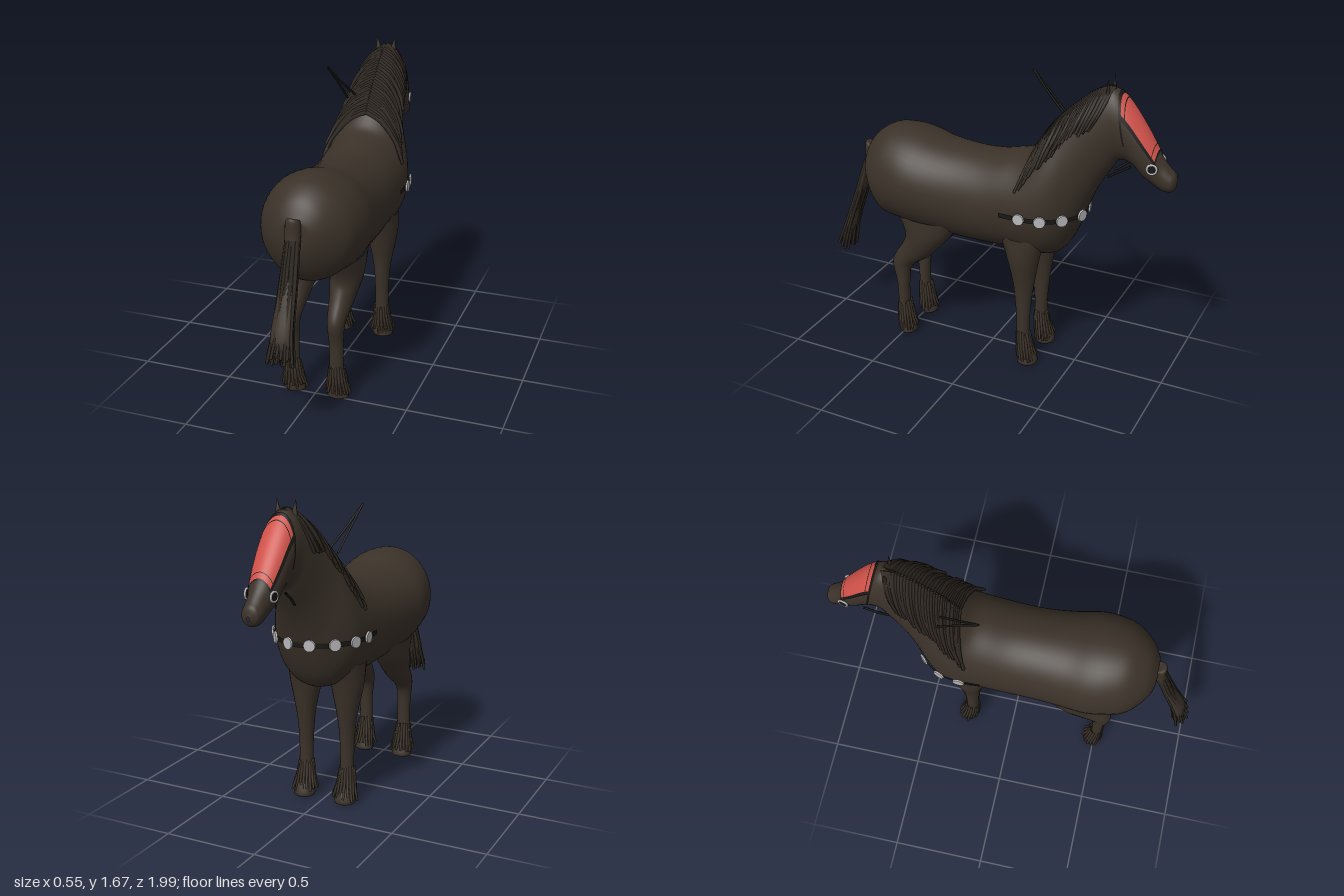
import * as THREE from 'three';

const V = (x, y, z) => new THREE.Vector3(x, y, z);
const mat = (name, color, side = THREE.FrontSide) => {
  const m = new THREE.MeshStandardMaterial({ color, side });
  m.name = name;
  return m;
};

// Surface patch sampled from fn(u, v); optionally closed around v
function grid(fn, nu, nv, closed = false) {
  const pos = [], idx = [], row = closed ? nv : nv + 1;
  for (let i = 0; i <= nu; i++)
    for (let j = 0; j < row; j++) pos.push(...fn(i / nu, j / nv).toArray());
  for (let i = 0; i < nu; i++)
    for (let j = 0; j < nv; j++) {
      const k = (j + 1) % row, a = i * row, b = a + row;
      idx.push(a + j, b + j, b + k, a + j, b + k, a + k);
    }
  const g = new THREE.BufferGeometry();
  g.setAttribute('position', new THREE.Float32BufferAttribute(pos, 3));
  g.setIndex(idx);
  g.computeVertexNormals();
  return g;
}

// Smooth skin through oval sections [z1, y1, z2, y2, halfWidth]
function skin(sections, x = 0) {
  const curve = f => new THREE.CatmullRomCurve3(sections.map(f), false, 'catmullrom', 0.5);
  const a = curve(s => V(x, s[1], s[0])), b = curve(s => V(x, s[3], s[2])), w = curve(s => V(s[4], 0, 0));
  return (t, ang, k = 1) => {
    const p = a.getPoint(t), q = b.getPoint(t);
    const c = p.clone().add(q).multiplyScalar(0.5);
    const h = p.sub(q).multiplyScalar(0.5 * k * Math.sin(ang));
    return c.add(h).add(V(w.getPoint(t).x * k * Math.cos(ang), 0, 0));
  };
}
const skinGeometry = (s, nu, nv) => grid((u, v) => s(u, v * Math.PI * 2), nu, nv, true);

// Tapered lock of hair
function strand(points, r, tip = 0.25, seg = 8, sides = 6) {
  const path = new THREE.CatmullRomCurve3(points);
  const g = new THREE.TubeGeometry(path, seg, r, sides);
  const p = g.attributes.position, v = V(0, 0, 0);
  for (let i = 0; i < p.count; i++) {
    const t = Math.floor(i / (sides + 1)) / seg;
    v.fromBufferAttribute(p, i).lerp(path.getPointAt(t), t * (1 - tip));
    p.setXYZ(i, v.x, v.y, v.z);
  }
  return g;
}

const BODY = [
  [0.75, 1.05, 0.75, 1.01, 0.01], [0.74, 1.08, 0.745, 0.9, 0.09], [0.69, 1.16, 0.7, 0.79, 0.165],
  [0.6, 1.22, 0.62, 0.705, 0.235], [0.5, 1.232, 0.5, 0.685, 0.265], [0.4, 1.22, 0.4, 0.67, 0.272],
  [0.28, 1.19, 0.28, 0.66, 0.255], [0.14, 1.176, 0.14, 0.65, 0.242], [0, 1.176, 0, 0.65, 0.24],
  [-0.12, 1.2, -0.15, 0.655, 0.24], [-0.22, 1.23, -0.31, 0.65, 0.242], [-0.28, 1.29, -0.42, 0.69, 0.23],
  [-0.33, 1.36, -0.49, 0.81, 0.2], [-0.38, 1.42, -0.54, 0.95, 0.165], [-0.45, 1.49, -0.6, 1.09, 0.135],
  [-0.53, 1.56, -0.665, 1.2, 0.115], [-0.61, 1.61, -0.7, 1.25, 0.102], [-0.67, 1.615, -0.75, 1.25, 0.095],
  [-0.74, 1.555, -0.79, 1.225, 0.09], [-0.82, 1.45, -0.83, 1.185, 0.082], [-0.88, 1.36, -0.87, 1.16, 0.07],
  [-0.925, 1.29, -0.91, 1.135, 0.056], [-0.965, 1.245, -0.945, 1.125, 0.053], [-0.99, 1.22, -0.98, 1.13, 0.043],
  [-1, 1.18, -1, 1.16, 0.008]
];
const FORE = [
  [-0.36, 0.78, -0.1, 0.78, 0.09], [-0.325, 0.65, -0.145, 0.65, 0.085], [-0.3, 0.5, -0.18, 0.5, 0.056],
  [-0.287, 0.4, -0.192, 0.4, 0.043], [-0.277, 0.28, -0.203, 0.28, 0.038], [-0.277, 0.17, -0.205, 0.17, 0.038],
  [-0.287, 0.1, -0.205, 0.1, 0.046], [-0.315, 0.05, -0.212, 0.04, 0.053], [-0.322, 0.004, -0.215, 0.004, 0.055],
  [-0.27, 0.002, -0.265, 0.002, 0.002]
];
const HIND = [
  [0.13, 0.76, 0.52, 0.76, 0.09], [0.22, 0.64, 0.475, 0.65, 0.085], [0.33, 0.52, 0.5, 0.57, 0.065],
  [0.425, 0.45, 0.555, 0.48, 0.05], [0.46, 0.4, 0.567, 0.42, 0.043], [0.472, 0.32, 0.545, 0.32, 0.038],
  [0.475, 0.19, 0.538, 0.19, 0.038], [0.465, 0.11, 0.535, 0.11, 0.045], [0.445, 0.05, 0.53, 0.04, 0.053],
  [0.437, 0.004, 0.525, 0.004, 0.055], [0.48, 0.002, 0.485, 0.002, 0.002]
];
const TAIL = [
  [0.72, 1.06, 0.74, 1.07, 0.01], [0.72, 1.05, 0.785, 1.085, 0.036], [0.74, 0.95, 0.795, 0.98, 0.04],
  [0.785, 0.83, 0.835, 0.84, 0.045], [0.84, 0.68, 0.895, 0.69, 0.05], [0.885, 0.53, 0.955, 0.54, 0.058],
  [0.92, 0.44, 0.965, 0.45, 0.05]
];

export function createModel() {
  const root = new THREE.Group();
  const coat = mat('dark brown coat', 0x3b3229);
  const hair = mat('dark hair', 0x2c261f, THREE.DoubleSide);
  const leather = mat('black leather', 0x191715, THREE.DoubleSide);
  const red = mat('red cloth', 0xd0524a, THREE.DoubleSide);
  const silver = mat('silver', 0xb9b9bb);
  let seed = 7;
  const rnd = () => (seed = (seed * 16807) % 2147483647) / 2147483647 - 0.5;
  const add = (name, g, m, parent = root) => {
    const mesh = new THREE.Mesh(g, m);
    mesh.name = name;
    parent.add(mesh);
    return mesh;
  };
  const group = name => {
    const g = new THREE.Group();
    g.name = name;
    root.add(g);
    return g;
  };

  // Body, neck and head in one skin
  const body = skin(BODY), N = BODY.length - 1;
  add('body', skinGeometry(body, 120, 48), coat);

  // Legs with feathered fetlocks
  for (const s of [1, -1])
    for (const [name, rows, zc, dz] of [['foreLeg', FORE, -0.24, -0.025], ['hindLeg', HIND, 0.505, -0.02]]) {
      const leg = group(name), x = 0.122 * s;
      add(name + 'Skin', skinGeometry(skin(rows, x), 54, 22), coat, leg);
      for (let i = 0; i < 18; i++) {
        const a = (i / 18) * Math.PI * 2, c = Math.cos(a), d = Math.sin(a), f = 1 + rnd() * 0.25;
        add('feather', strand([
          V(x + c * 0.033, 0.19 + rnd() * 0.03, zc + d * 0.03),
          V(x + c * 0.048, 0.11, zc + dz * 0.4 + d * 0.042),
          V(x + c * 0.068 * f, 0.035 + rnd() * 0.03, zc + dz + d * 0.05 * f)
        ], 0.011, 0.6, 5), coat, leg);
      }
    }

  // Tail core and locks
  const tail = group('tail');
  add('tailCore', skinGeometry(skin(TAIL), 36, 20), coat, tail);
  for (let i = 0; i < 30; i++) {
    const a = i * 2.4, r = Math.sqrt((i + 0.5) / 30), c = Math.cos(a) * r, d = Math.sin(a) * r;
    add('tailLock', strand([
      V(c * 0.032, 0.98, 0.767 + d * 0.02), V(c * 0.046, 0.76, 0.838 + d * 0.024),
      V(c * 0.058, 0.56, 0.91 + d * 0.03), V(c * 0.082, 0.42 + d * 0.025 + rnd() * 0.05, 0.95 + d * 0.042)
    ], 0.013, 0.6), hair, tail);
  }

  // Mane falling on both sides of the crest
  const mane = group('mane');
  for (const s of [1, -1])
    for (let i = 0; i < 32; i++) {
      const k = i / 31, p = body((11.4 + 5.3 * k) / N, Math.PI / 2);
      const out = 0.225 - 0.095 * k + rnd() * 0.02, drop = 0.27 - 0.08 * k + rnd() * 0.04;
      add('maneLock', strand([
        V(0, p.y - 0.004, p.z), V(s * out * 0.38, p.y - drop * 0.18, p.z + 0.012),
        V(s * out * 0.8, p.y - drop * 0.6, p.z + 0.04), V(s * out, p.y - drop, p.z + 0.075 + rnd() * 0.02)
      ], 0.016, 0.5), hair, mane);
    }

  // Loose thin reins standing off the neck
  for (const [x, y] of [[-0.135, 1.37], [-0.09, 1.39]])
    add('looseRein', strand([V(-0.165, 1.585, -0.15), V((x - 0.165) / 2, 1.485, -0.255), V(x, y, -0.37)], 0.006, 1), leather);

  // Ears
  for (const s of [1, -1]) {
    const ear = add('ear', new THREE.ConeGeometry(0.022, 0.1, 12), coat);
    ear.scale.z = 0.6;
    ear.position.set(s * 0.046, 1.622, -0.636);
    ear.rotation.z = -s * 0.12;
  }

  // Face cover and bridle bands laid over the head
  const patch = (name, u0, u1, a0, a1, k, m) => add(name, grid((u, v) =>
    body((u0 + (u1 - u0) * u) / N, THREE.MathUtils.degToRad(a0 + (a1 - a0) * v), k), 16, 32), m);
  patch('faceCover', 17.5, 20.4, 32, 148, 1.035, red);
  patch('coverTopSeam', 17.78, 17.84, 32, 148, 1.045, leather);
  patch('coverLowerSeam', 20.0, 20.05, 32, 148, 1.05, leather);
  patch('browBand', 17.28, 17.48, -20, 200, 1.04, leather);
  patch('noseBand', 20.36, 20.48, 0, 180, 1.05, leather);
  for (const a of [22, 148]) patch('cheekStrap', 17.3, 20.45, a, a + 10, 1.045, leather);

  // Bit rings and throat straps
  for (const s of [1, -1]) {
    const bit = group('bit');
    bit.position.set(s * 0.073, 1.257, -0.888);
    bit.rotation.y = s * (Math.PI / 2 + 0.2);
    add('bitRing', new THREE.TorusGeometry(0.024, 0.006, 8, 24), silver, bit);
    add('bitCentre', new THREE.CylinderGeometry(0.019, 0.019, 0.008, 20).rotateX(Math.PI / 2), leather, bit);
    add('throatStrap', strand([V(s * 0.07, 1.25, -0.78), V(s * 0.065, 1.21, -0.72), V(s * 0.05, 1.165, -0.658)], 0.007, 1), leather);
  }

  // Breast strap following the chest at a fixed height
  const side = [];
  for (let i = 0; i <= 16; i++) {
    const u = (9.1 + 3.74 * (i / 16)) / N;
    let lo = -Math.PI / 2, hi = Math.PI / 2;
    for (let n = 0; n < 30; n++) {
      const mid = (lo + hi) / 2;
      if (body(u, mid).y < 0.93) lo = mid; else hi = mid;
    }
    side.push(body(u, lo, 1.01));
  }
  const loop = new THREE.CatmullRomCurve3([...side, ...side.slice(0, -1).reverse().map(p => V(-p.x, p.y, p.z))]);
  const onStrap = (t, off) => {
    const tan = loop.getTangentAt(t), n = V(tan.z, 0, -tan.x).normalize();
    if (n.dot(loop.getPointAt(t).sub(V(0, 0.93, 0))) < 0) n.negate();
    return { n, p: loop.getPointAt(t).addScaledVector(n, off) };
  };
  const strap = group('breastStrap');
  add('strapBand', grid((u, v) => onStrap(u, 0.006).p.add(V(0, (v - 0.5) * 0.026, 0)), 80, 1), leather, strap);
  for (const h of [0.22, 0.43, 0.65, 0.89])
    for (const t of [h / 2, 1 - h / 2]) {
      const { n, p } = onStrap(t, 0.012);
      const disc = add('silverDisc', new THREE.CylinderGeometry(0.03, 0.032, 0.009, 16).rotateX(Math.PI / 2), silver, strap);
      disc.position.copy(p);
      disc.lookAt(p.clone().add(n));
    }
  return root;
}
